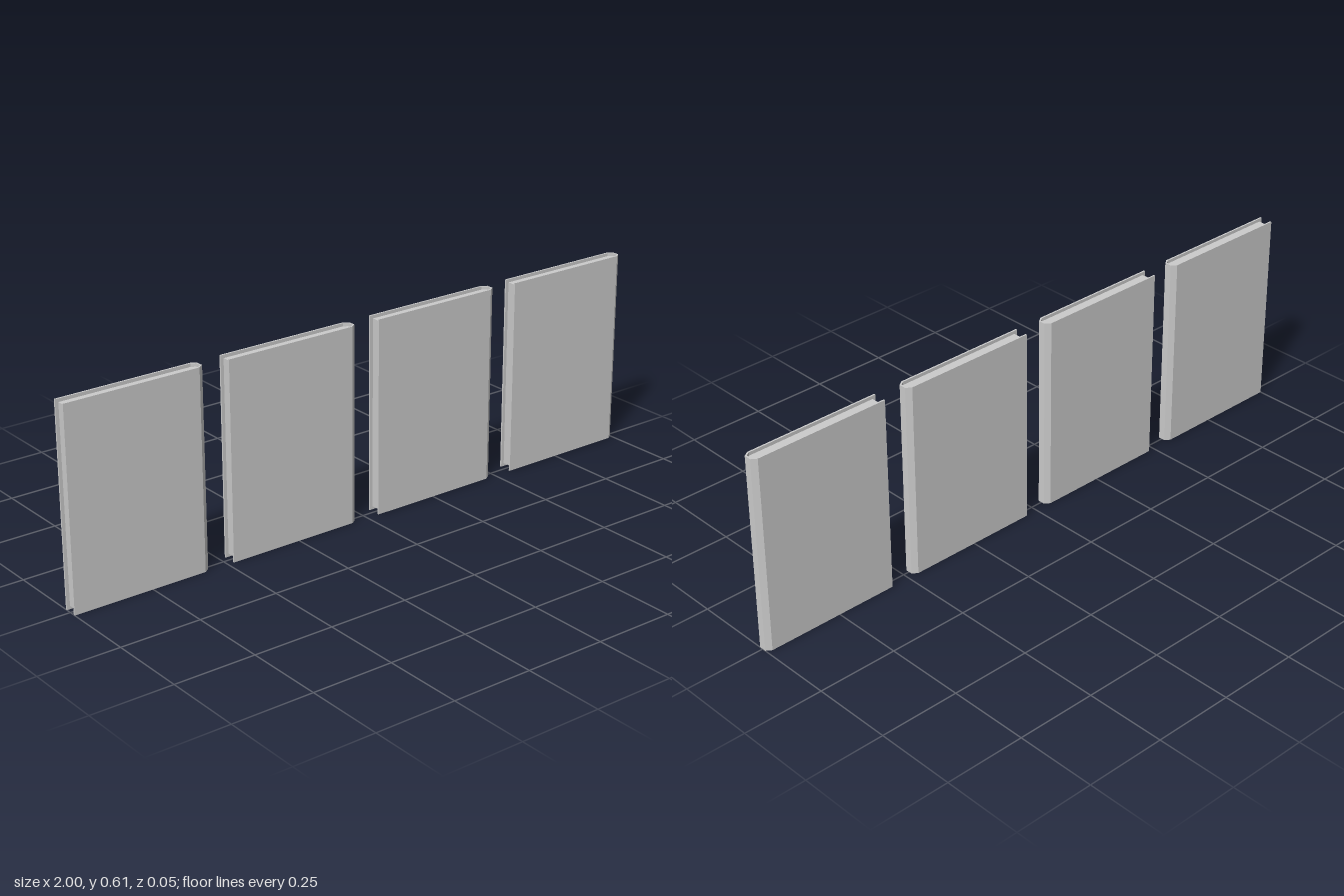
import * as THREE from 'three';

const W = 0.44, H = 0.61, D = 0.0225; // book width, height, half thickness
const T = 0.005;                      // cover board thickness
const INSET = 0.01;                   // page block recess
const COUNT = 4, STEP = 0.52;

const material = new THREE.MeshStandardMaterial({ color: 0xcccccc, flatShading: true });

// Extrude a plan outline (x, -z) upwards from y to y + height
function extrudeUp(points, y, height) {
  const shape = new THREE.Shape(points.map(([px, py]) => new THREE.Vector2(px, py)));
  const geometry = new THREE.ExtrudeGeometry(shape, { depth: height, bevelEnabled: false });
  geometry.rotateX(-Math.PI / 2);
  geometry.translate(0, y, 0);
  return geometry;
}

function createBook(coverGeometry, pagesGeometry) {
  const book = new THREE.Group();
  const cover = new THREE.Mesh(coverGeometry, material);
  cover.name = 'cover';
  const pages = new THREE.Mesh(pagesGeometry, material);
  pages.name = 'pages';
  book.add(cover, pages);
  return book;
}

export function createModel() {
  const model = new THREE.Group();
  model.name = 'bookRow';

  // U-shaped cover with a chamfered spine on the +x side
  const bend = W - 0.016, half = D / 2, inner = D - T;
  const coverGeometry = extrudeUp([
    [0, -D], [bend, -D], [W, -half], [W, half], [bend, D], [0, D],
    [0, inner], [bend - 0.002, inner], [W - T, half - 0.002],
    [W - T, -half + 0.002], [bend - 0.002, -inner], [0, -inner],
  ], 0, H);

  // Page block set back from the cover edges
  const pagesGeometry = extrudeUp([
    [INSET, -inner], [bend - 0.002, -inner], [W - T, -half + 0.002],
    [W - T, half - 0.002], [bend - 0.002, inner], [INSET, inner],
  ], INSET, H - 2 * INSET);

  for (let i = 0; i < COUNT; i++) {
    const book = createBook(coverGeometry, pagesGeometry);
    book.name = `book${i + 1}`;
    book.position.x = -1 + i * STEP;
    model.add(book);
  }
  return model;
}
